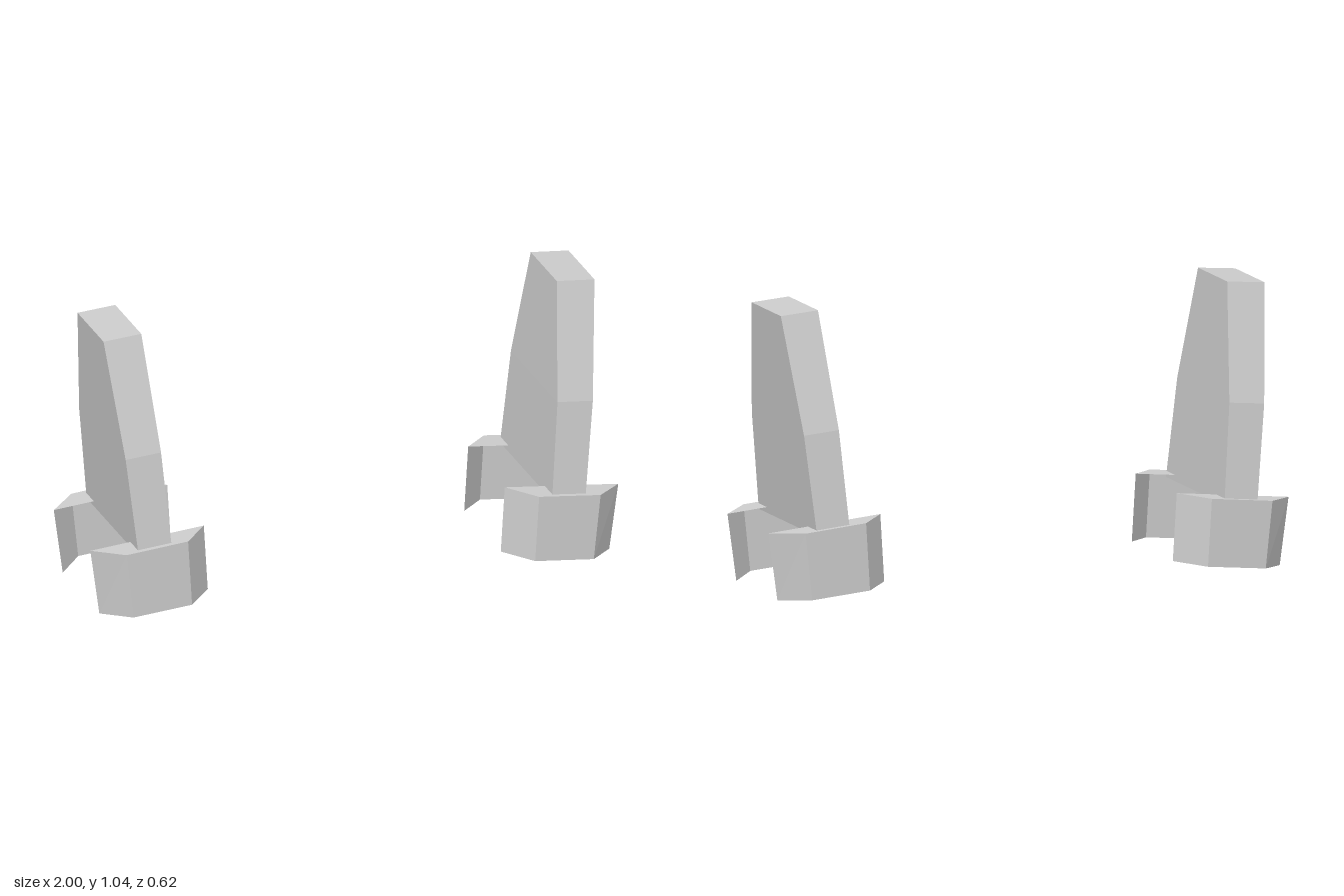
import * as THREE from 'three';

const material = new THREE.MeshStandardMaterial({
  color: 0xcccccc, flatShading: true, side: THREE.DoubleSide,
});

// Thin shell through four-point sections (bottom to top), capped on top, open below.
// sx and sz mirror it; "closed" joins the last point of a section to the first.
function shell(name, sections, closed, sx, sz) {
  const pos = [];
  const quad = (...corners) => {
    if (sx * sz < 0) corners.reverse();
    for (const i of [0, 1, 2, 0, 2, 3]) {
      const [x, y, z] = corners[i];
      pos.push(x * sx, y, z * sz);
    }
  };
  for (let k = 0; k < sections.length - 1; k++) {
    const low = sections[k], high = sections[k + 1];
    for (let i = 0; i < (closed ? 4 : 3); i++) {
      const j = (i + 1) % 4;
      quad(low[i], low[j], high[j], high[i]);
    }
  }
  quad(...sections[sections.length - 1]);
  const geometry = new THREE.BufferGeometry();
  geometry.setAttribute('position', new THREE.Float32BufferAttribute(pos, 3));
  geometry.computeVertexNormals();
  const mesh = new THREE.Mesh(geometry, material);
  mesh.name = name;
  return mesh;
}

// Fin section: inner edge, outer edge, half depth
const finSection = (xi, yi, xo, yo, z) => [[xi, yi, z], [xo, yo, z], [xo, yo, -z], [xi, yi, -z]];
const FIN = [
  finSection(0.72, 0.255, 0.846, 0.243, 0.292),
  finSection(0.751, 0.62, 0.885, 0.608, 0.261),
  finSection(0.787, 1.04, 0.93, 1.028, 0.146),
];

// Bracket: chamfered wall wrapping round one end of the fin
const BRACKET = [
  [[0.555, 0.045, 0.205], [0.65, 0.036, 0.31], [0.872, 0.015, 0.31], [0.966, 0.003, 0.205]],
  [[0.57, 0.292, 0.205], [0.665, 0.283, 0.31], [0.898, 0.26, 0.31], [1.0, 0.25, 0.205]],
];

export function createModel() {
  const model = new THREE.Group();
  model.name = 'finPair';
  for (const [side, sx] of [['left', 1], ['right', -1]]) {
    const unit = new THREE.Group();
    unit.name = side + 'Unit';
    unit.add(
      shell(side + 'Fin', FIN, true, sx, 1),
      shell(side + 'FrontBracket', BRACKET, false, sx, 1),
      shell(side + 'BackBracket', BRACKET, false, sx, -1),
    );
    model.add(unit);
  }
  return model;
}
